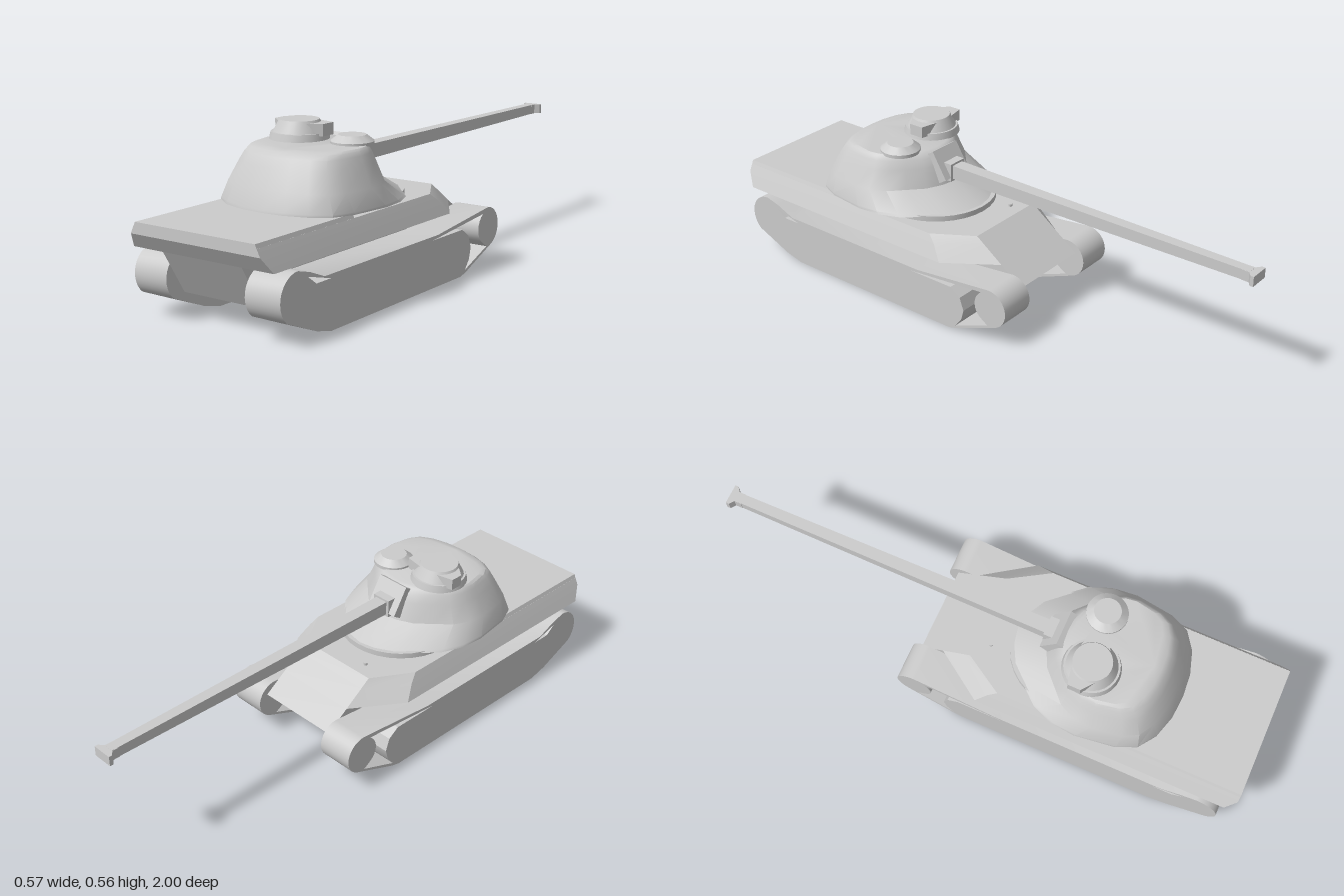
import * as THREE from 'three';
import { toCreasedNormals } from 'three/addons/utils/BufferGeometryUtils.js';

const material = new THREE.MeshStandardMaterial({ color: 0xcccccc });

function part(parent, name, geometry, x = 0, y = 0, z = 0) {
  const mesh = new THREE.Mesh(toCreasedNormals(geometry, 0.5), material);
  mesh.name = name;
  mesh.position.set(x, y, z);
  parent.add(mesh);
  return mesh;
}

// Mirrors a half outline of [x, z], running rear to front, into a closed ring at height y.
function ring(half, y) {
  const other = half.filter(([x]) => x > 0).reverse().map(([x, z]) => [-x, z]);
  return [...half, ...other].map(([x, z]) => [x, y, z]);
}

// Skins a stack of equal rings and closes both ends.
function loft(rings) {
  const n = rings[0].length;
  const index = [];
  for (let r = 0; r < rings.length - 1; r++) {
    for (let i = 0; i < n; i++) {
      const a = r * n + i, b = r * n + (i + 1) % n;
      index.push(a, b, b + n, a, b + n, a + n);
    }
  }
  const top = (rings.length - 1) * n;
  for (let i = 1; i < n - 1; i++) {
    index.push(0, i + 1, i, top, top + i, top + i + 1);
  }
  const geo = new THREE.BufferGeometry();
  geo.setAttribute('position', new THREE.Float32BufferAttribute(rings.flat(2), 3));
  geo.setIndex(index);
  return geo;
}

const vectors = (pts) => pts.map(([a, b]) => new THREE.Vector2(a, b));

// Extrudes a side profile of [z, y] from x0 over the given width.
function sideExtrude(profile, x0, width, holes = []) {
  const shape = new THREE.Shape(vectors(profile));
  holes.forEach((h) => shape.holes.push(new THREE.Path(vectors(h))));
  return new THREE.ExtrudeGeometry(shape, { depth: width, bevelEnabled: false })
    .rotateY(-Math.PI / 2).translate(x0 + width, 0, 0);
}

// Extrudes a plan of [x, z] upwards from y0.
function planExtrude(plan, y0, height) {
  const shape = new THREE.Shape(vectors(plan.map(([x, z]) => [x, -z])));
  return new THREE.ExtrudeGeometry(shape, { depth: height, bevelEnabled: false })
    .rotateX(-Math.PI / 2).translate(0, y0, 0);
}

function arc(cz, cy, r, from, to, steps) {
  return Array.from({ length: steps + 1 }, (_, i) => {
    const a = THREE.MathUtils.degToRad(from + (to - from) * i / steps);
    return [cz + r * Math.cos(a), cy + r * Math.sin(a)];
  });
}

function addHull(group) {
  part(group, 'lowerHull', sideExtrude(
    [[0.967, 0.23], [0.88, 0.085], [-0.07, 0.085], [-0.21, 0.17], [-0.125, 0.23]], -0.155, 0.31));
  part(group, 'upperHull', loft([
    ring([[0.275, 0.967], [0.275, 0.05], [0.155, -0.125]], 0.23),
    ring([[0.253, 1], [0.253, 0.09], [0.155, -0.055]], 0.28),
    ring([[0.241, 1], [0.241, 0.12], [0.155, -0.02]], 0.305),
  ]));
  part(group, 'engineDeck', loft([
    ring([[0.241, 1], [0.241, 0.54]], 0.304),
    ring([[0.235, 1], [0.235, 0.54]], 0.318),
  ]));
  part(group, 'turretRing', new THREE.CylinderGeometry(0.21, 0.21, 0.025, 32), 0, 0.312, 0.29);
  part(group, 'deckPeriscope', new THREE.CylinderGeometry(0.007, 0.007, 0.012, 8), -0.09, 0.308, 0.03);
}

function addTracks(group) {
  // Closed outline: rear wheel, sagging top run, front wheel, rising lower run
  const outline = [
    ...arc(0.875, 0.138, 0.082, -50, 90, 14),
    [0.82, 0.205], [0.75, 0.176], [0.14, 0.176],
    ...arc(-0.175, 0.14, 0.07, 90, 245, 14),
    [-0.03, 0.007], [0, 0], [0.72, 0], [0.79, 0.017],
  ];
  const rearGap = [[0.83, 0.193], [0.79, 0.163], [0.72, 0.163]];
  const frontGap = [
    [0.17, 0.163], [-0.01, 0.163], [-0.05, 0.135], [-0.066, 0.09], [-0.055, 0.05], [-0.03, 0.018],
    [-0.17, 0.072], ...arc(-0.175, 0.14, 0.06, -60, 60, 8),
  ];
  for (const side of [1, -1]) {
    part(group, side > 0 ? 'leftTrack' : 'rightTrack',
      sideExtrude(outline, side > 0 ? 0.155 : -0.287, 0.132, [rearGap, frontGap]));
  }
}

function addTurret(group) {
  // Plan template: fraction of half width, fraction of length from the gun end
  const plan = [[0, 1], [0.3, 0.99], [0.6, 0.95], [0.82, 0.88], [0.93, 0.77], [1, 0.54],
    [0.97, 0.4], [0.86, 0.28], [0.66, 0.18], [0.45, 0.075], [0.22, 0.02], [0, 0]];
  // Levels: height, half width, gun end z, far end z
  const levels = [[0.32, 0.275, 0.08, 0.7], [0.328, 0.274, 0.1, 0.698], [0.385, 0.247, 0.21, 0.672],
    [0.45, 0.216, 0.235, 0.64], [0.48, 0.202, 0.25, 0.62], [0.494, 0.194, 0.265, 0.602],
    [0.5, 0.186, 0.28, 0.575]];
  part(group, 'turret', loft(levels.map(([y, w, z0, z1]) =>
    ring(plan.map(([u, v]) => [u * w, z0 + (z1 - z0) * v]), y))));

  // Large cupola with its crosswise sight housing
  part(group, 'cupolaBase', new THREE.CylinderGeometry(0.094, 0.1, 0.025, 28), -0.09, 0.511, 0.39);
  part(group, 'cupola', new THREE.CylinderGeometry(0.066, 0.088, 0.042, 28), -0.09, 0.542, 0.39);
  part(group, 'sightHousing', planExtrude([[-0.192, 0.345], [-0.192, 0.39], [-0.13, 0.44],
    [-0.09, 0.46], [-0.05, 0.44], [0.014, 0.4], [0.014, 0.345], [-0.06, 0.33], [-0.12, 0.33]],
  0.515, 0.04));

  // Small round roof hatch
  part(group, 'hatch', new THREE.LatheGeometry(vectors(
    [[0, 0.495], [0.071, 0.495], [0.071, 0.507], [0.046, 0.527], [0, 0.527]]), 28), 0.105, 0, 0.365);
}

function addGun(group) {
  const mantlet = part(group, 'mantlet', new THREE.BoxGeometry(0.125, 0.11, 0.06), 0, 0.443, 0.25);
  mantlet.rotation.x = 0.55;
  part(group, 'gunCollar', new THREE.BoxGeometry(0.07, 0.065, 0.06), 0, 0.43, 0.225);
  // Tapered square barrel
  part(group, 'barrel', new THREE.CylinderGeometry(0.0175 * Math.SQRT2, 0.025 * Math.SQRT2, 1.2, 4)
    .rotateY(Math.PI / 4).rotateX(-Math.PI / 2), 0, 0.43, -0.375);
  // Flared muzzle brake
  part(group, 'muzzleBrake', planExtrude([[-0.019, -0.95], [0.019, -0.95], [0.019, -0.975],
    [0.036, -0.988], [0.036, -1], [-0.036, -1], [-0.036, -0.988], [-0.019, -0.975]], 0.412, 0.035));
}

export function createModel() {
  const tank = new THREE.Group();
  tank.name = 'tank';
  for (const [name, build] of [['hull', addHull], ['tracks', addTracks],
    ['turretAssembly', addTurret], ['gun', addGun]]) {
    const group = new THREE.Group();
    group.name = name;
    build(group);
    tank.add(group);
  }
  return tank;
}
